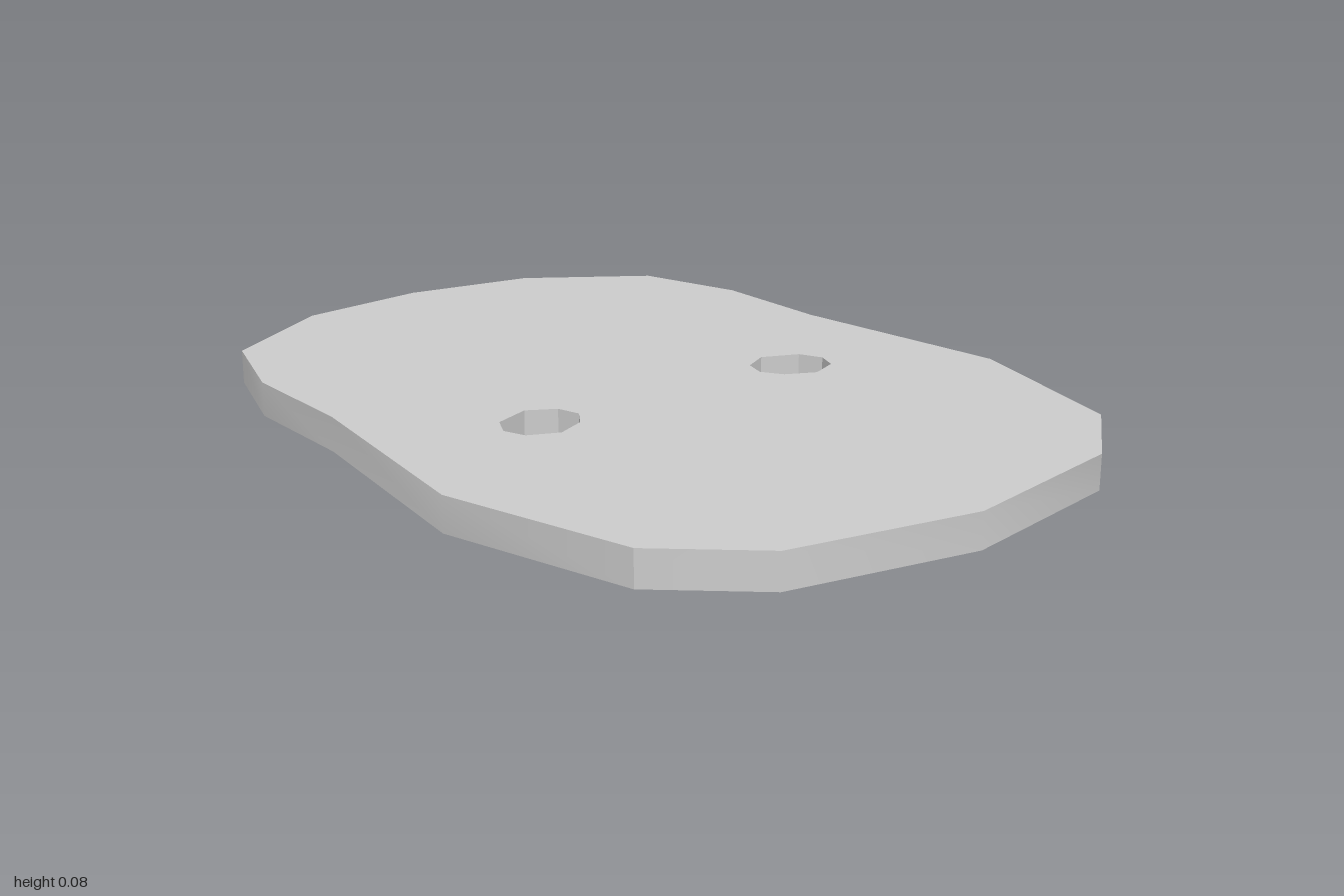
import * as THREE from 'three';
import { toCreasedNormals } from 'three/addons/utils/BufferGeometryUtils.js';

const THICKNESS = 0.077;

// Half outline as [x, z], from the back tip to the front tip
const HALF_OUTLINE = [
  [0, -1], [0.317, -0.955], [0.595, -0.775], [0.673, -0.517], [0.67, -0.21],
  [0.735, 0.33], [0.612, 0.757], [0.418, 0.922], [0, 1],
];

// Eight-sided hole on the +x side
const HOLE = [
  [0.328, 0], [0.413, 0.034], [0.438, 0.087], [0.418, 0.138],
  [0.349, 0.167], [0.28, 0.135], [0.249, 0.087], [0.265, 0.034],
];

const toPoints = (pairs, side = 1) => pairs.map(([x, z]) => new THREE.Vector2(x * side, z));

export function createModel() {
  const model = new THREE.Group();
  model.name = 'facePlate';

  // Mirrored outline with a mirrored pair of holes
  const mirrored = toPoints(HALF_OUTLINE.slice(1, -1), -1).reverse();
  const shape = new THREE.Shape([...toPoints(HALF_OUTLINE), ...mirrored]);
  for (const side of [1, -1]) shape.holes.push(new THREE.Path(toPoints(HOLE, side)));

  // Lay the extrusion flat so that shape y becomes z
  const geometry = new THREE.ExtrudeGeometry(shape, { depth: THICKNESS, bevelEnabled: false });
  geometry.rotateX(Math.PI / 2).translate(0, THICKNESS, 0);

  const plate = new THREE.Mesh(
    toCreasedNormals(geometry, 0.55),
    new THREE.MeshStandardMaterial({ color: 0xcccccc }),
  );
  plate.name = 'plate';
  model.add(plate);
  return model;
}
